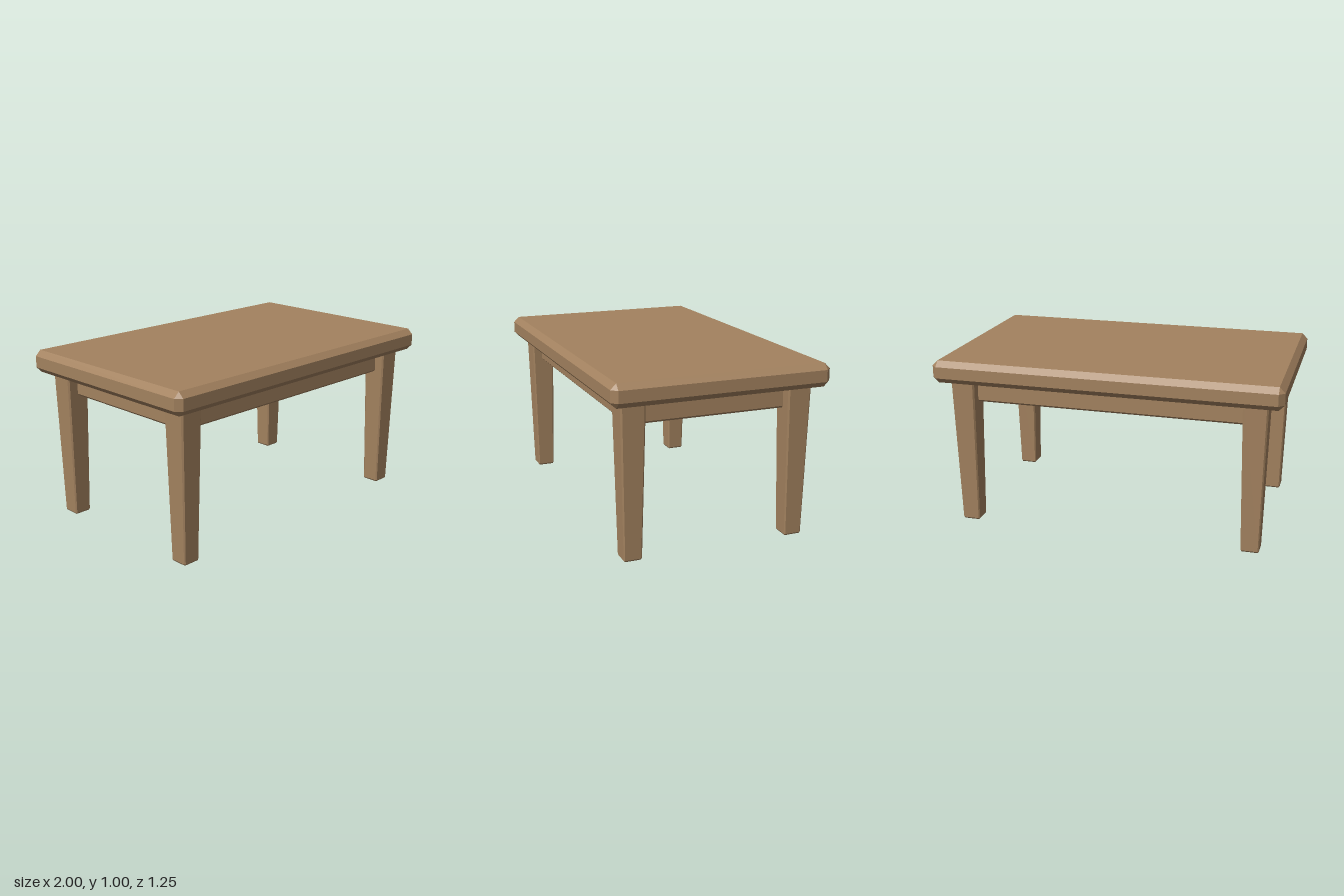
import * as THREE from 'three';
import { ConvexGeometry } from 'three/addons/geometries/ConvexGeometry.js';

// Box with every edge chamfered; it can taper from a base size (at the bottom) to full size (at the top).
function chamferedBox(width, height, depth, bevel, baseScale = 1) {
  const half = [width / 2, height / 2, depth / 2];
  const points = [];
  for (const sx of [-1, 1]) for (const sy of [-1, 1]) for (const sz of [-1, 1]) {
    for (let face = 0; face < 3; face++) {
      const [x, y, z] = half.map((h, axis) => (axis === face ? h : h - bevel));
      const t = (sy * y + half[1]) / height;
      const scale = baseScale + (1 - baseScale) * t;
      points.push(new THREE.Vector3(sx * x * scale, sy * y, sz * z * scale));
    }
  }
  return new ConvexGeometry(points);
}

export function createModel() {
  const wood = new THREE.MeshStandardMaterial({ color: 0xa3825f });
  wood.name = 'brown wood';

  const table = new THREE.Group();
  table.name = 'table';

  const add = (name, geometry, x, y, z) => {
    const mesh = new THREE.Mesh(geometry, wood);
    mesh.name = name;
    mesh.position.set(x, y, z);
    table.add(mesh);
  };

  // Thick slab on top
  add('tabletop', chamferedBox(2, 0.13, 1.245, 0.032), 0, 0.935, 0);

  // Solid apron block set between the legs
  add('apron', chamferedBox(1.7, 0.13, 0.98, 0.012), 0, 0.803, 0);

  // Four legs, narrowing towards the floor
  const leg = chamferedBox(0.14, 0.87, 0.14, 0.009, 0.74);
  for (const [side, sx] of [['Left', 1], ['Right', -1]]) {
    for (const [end, sz] of [['front', 1], ['back', -1]]) {
      add(`${end}${side}Leg`, leg, sx * 0.843, 0.435, sz * 0.48);
    }
  }
  return table;
}
